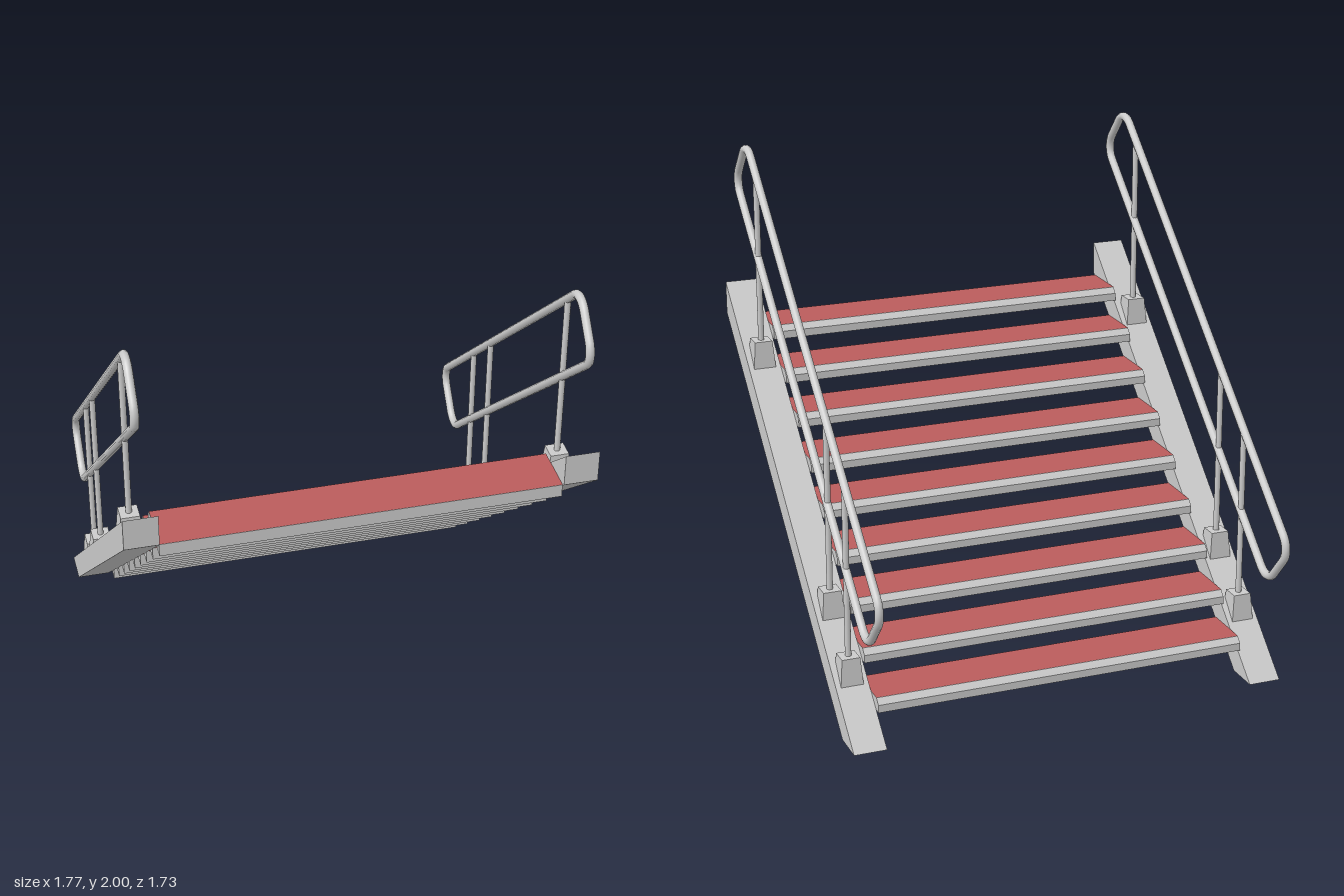
import * as THREE from 'three';

const grey = new THREE.MeshStandardMaterial({ color: 0xcccccc });
const greyFlat = new THREE.MeshStandardMaterial({ color: 0xcccccc, flatShading: true });
const red = new THREE.MeshStandardMaterial({ color: 0xbb5c5c });

// Extrude a side profile given as [z, y] pairs across the width in x
function sideExtrude(points, width) {
  const shape = new THREE.Shape(points.map(([z, y]) => new THREE.Vector2(z, y)));
  const geo = new THREE.ExtrudeGeometry(shape, { depth: width, bevelEnabled: false });
  return geo.translate(0, 0, -width / 2).rotateY(-Math.PI / 2);
}

function add(parent, name, geo, material, x = 0, y = 0, z = 0) {
  const mesh = new THREE.Mesh(geo, material);
  mesh.name = name;
  mesh.position.set(x, y, z);
  parent.add(mesh);
  return mesh;
}

// Closed rounded rectangle: half length a, half height b, corner radius r
function railLoop(a, b, r) {
  const path = new THREE.CurvePath();
  const k = r * 0.4477;
  const v = (x, y) => new THREE.Vector3(x, y, 0);
  const corners = [[1, -1], [1, 1], [-1, 1], [-1, -1]];
  let last = v(-a + r, -b);
  corners.forEach(([sx, sy], i) => {
    const alongX = (d) => v(sx * (a - d), sy * b);
    const alongY = (d) => v(sx * a, sy * (b - d));
    const [inn, out] = i % 2 === 0 ? [alongX, alongY] : [alongY, alongX];
    path.add(new THREE.LineCurve3(last, inn(r)));
    path.add(new THREE.CubicBezierCurve3(inn(r), inn(k), out(k), out(r)));
    last = out(r);
  });
  return path;
}

const SLOPE = 0.886;
const stringerTop = (z) => 1.4 + (z - 0.86) * SLOPE;

function createTread() {
  const tread = new THREE.Group();
  const width = 1.51, depth = 0.22, h = 0.053, c = 0.022;
  // Plank with chamfered nose at z = 0, top at y = 0
  const profile = [[0, -h], [depth, -h], [depth, 0], [c, 0], [0, -c]];
  add(tread, 'treadPlank', sideExtrude(profile, width), greyFlat);
  // Coloured faces above and below
  const top = new THREE.PlaneGeometry(width, depth - c).rotateX(-Math.PI / 2);
  add(tread, 'treadTopSurface', top, red, 0, 0.001, (depth + c) / 2);
  const under = new THREE.PlaneGeometry(width, depth).rotateX(Math.PI / 2);
  add(tread, 'treadUnderside', under, red, 0, -h - 0.001, depth / 2);
  return tread;
}

function createSide(name, x) {
  const side = new THREE.Group();
  side.name = name;
  side.position.x = x;

  // Sloping side beam
  const beam = [[-0.72, 0], [-0.58, 0], [0.86, 1.27], [0.86, 1.4]];
  add(side, 'stringer', sideExtrude(beam, 0.13), greyFlat);

  // Looped handrail
  const angle = THREE.MathUtils.degToRad(41.3);
  const rail = new THREE.TubeGeometry(railLoop(1.057, 0.128, 0.073), 260, 0.017, 10, true);
  rail.rotateZ(angle).rotateY(-Math.PI / 2);
  add(side, 'handrail', rail, grey, 0, 1.2175, 0);

  // Posts standing on tapered feet
  for (const z of [0.587, -0.258, -0.47]) {
    const footTop = stringerTop(z) + 0.068;
    const railY = 1.2175 + z * Math.tan(angle) + 0.128 / Math.cos(angle);
    const post = new THREE.CylinderGeometry(0.012, 0.012, railY - footTop, 10);
    add(side, 'post', post, grey, 0, (railY + footTop) / 2, z);
    const foot = new THREE.CylinderGeometry(0.036 * Math.SQRT2, 0.046 * Math.SQRT2, 0.12, 4);
    foot.rotateY(Math.PI / 4);
    add(side, 'postFoot', foot, greyFlat, 0, footTop - 0.06, z);
  }
  return side;
}

export function createModel() {
  const model = new THREE.Group();
  model.name = 'staircase';

  for (let i = 0; i < 9; i++) {
    const tread = createTread();
    tread.name = `tread${i + 1}`;
    tread.position.set(0, 0.161 + i * 0.1373, -0.625 + i * 0.1562);
    model.add(tread);
  }

  model.add(createSide('leftSide', 0.82), createSide('rightSide', -0.82));
  return model;
}
